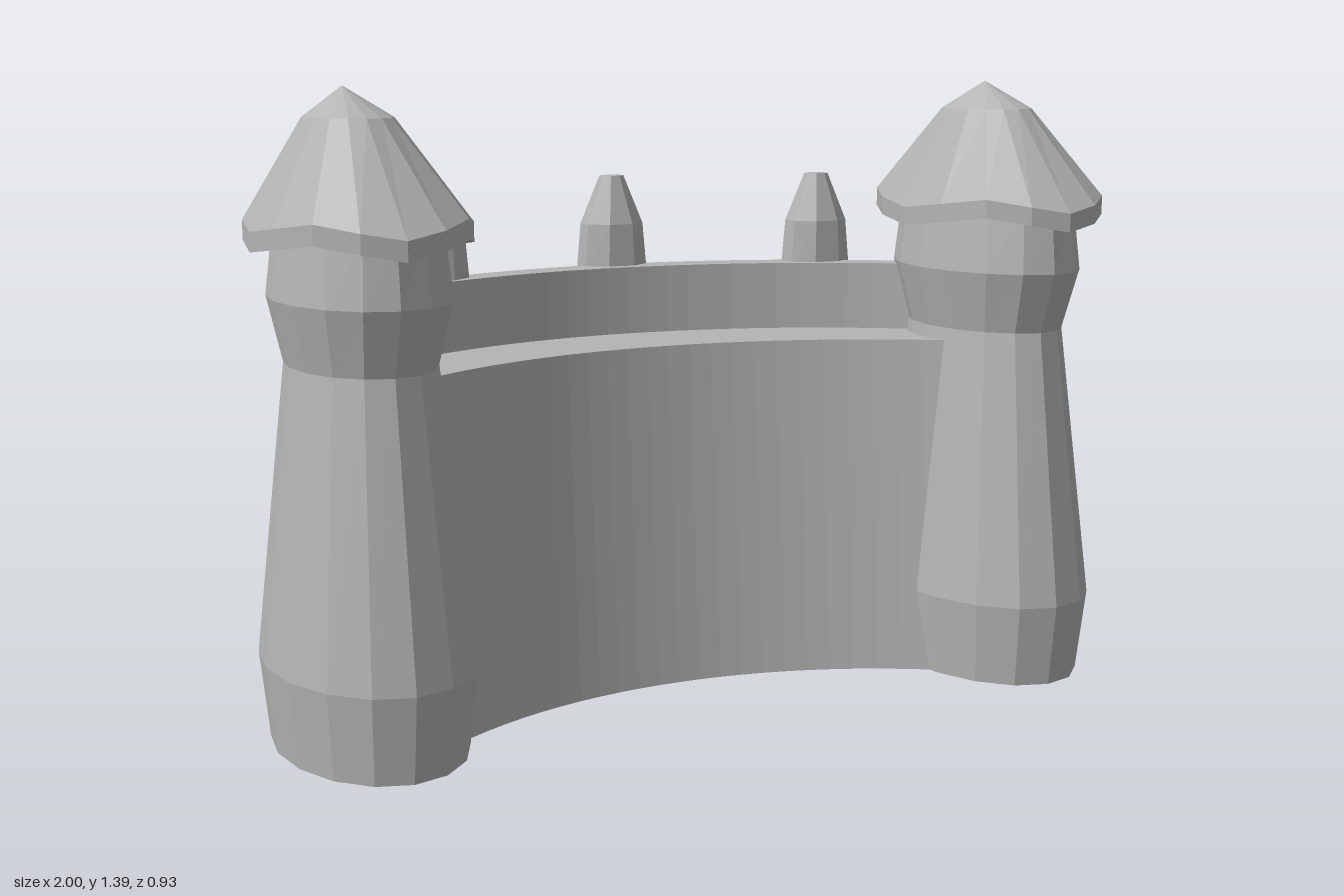
import * as THREE from 'three';

const stone = new THREE.MeshStandardMaterial({ color: 0xb4b4b4, flatShading: true, side: THREE.DoubleSide });
stone.name = 'greyStone';

// Skin a list of equal-length point rows; closed rows wrap round, caps close the ends.
function skin(name, rows, { wrap = true, capStart = false, capEnd = false } = {}) {
  const n = rows[0].length;
  const pos = rows.flat(2);
  const index = [];
  for (let i = 0; i < rows.length - 1; i++) {
    for (let j = 0; j < (wrap ? n : n - 1); j++) {
      const k = (j + 1) % n;
      const a = i * n + j, b = i * n + k, c = (i + 1) * n + k, d = (i + 1) * n + j;
      index.push(a, b, c, a, c, d);
    }
  }
  const last = (rows.length - 1) * n;
  for (let j = 1; j < n - 1; j++) {
    if (capStart) index.push(0, j + 1, j);
    if (capEnd) index.push(last, last + j, last + j + 1);
  }
  const geo = new THREE.BufferGeometry();
  geo.setAttribute('position', new THREE.Float32BufferAttribute(pos, 3));
  geo.setIndex(index);
  geo.computeVertexNormals();
  const mesh = new THREE.Mesh(geo, stone);
  mesh.name = name;
  return mesh;
}

// Elliptical ring; lift adjusts the height of each corner.
function ring(n, y, rx, rz, cx = 0, cz = 0, lift = () => 0, turn = 0) {
  return Array.from({ length: n }, (_, j) => {
    const a = ((j + turn) / n) * Math.PI * 2;
    return [cx + rx * Math.cos(a), y + lift(j, a), cz - rz * Math.sin(a)];
  });
}

function makeTower(x) {
  const tower = new THREE.Group();
  tower.name = 'tower';
  tower.position.set(x, 0, 0.135);
  // Waisted shaft, open below
  const shaft = [
    [0, 0.202, 0.306], [0.19, 0.222, 0.33], [0.82, 0.153, 0.236],
    [0.96, 0.184, 0.283], [1.1, 0.166, 0.268],
  ].map(([y, rx, rz]) => ring(16, y, rx, rz));
  tower.add(skin('towerShaft', shaft));
  // Pointed roof with a wavy eave
  const wave = (j) => [0, 0.015, 0.03, 0.015][j % 4];
  tower.add(skin('towerRoof', [
    ring(16, 1.085, 0.155, 0.26),
    ring(16, 1.06, 0.226, 0.335, 0, 0, wave),
    ring(16, 1.102, 0.226, 0.335, 0, 0, wave),
    ring(16, 1.33, 0.09, 0.13, -0.022, 0.025),
    ring(16, 1.393, 0.001, 0.001, -0.035, 0.035),
  ]));
  return tower;
}

// Rearward bow of the wall at a given x
const bow = (x) => 1.1 - Math.sqrt(1.1 * 1.1 - x * x);

function makeWall() {
  // Section [z, y] from front foot over the walkway and parapet to the rear foot
  const section = [
    [0.06, 0], [0, 0.79], [-0.23, 0.79], [-0.23, 0.95], [-0.315, 0.95],
    [-0.315, 0.83], [-0.285, 0.79], [-0.31, 0.21], [-0.362, 0.15], [-0.362, 0],
  ];
  const rows = [];
  for (let i = 0; i <= 28; i++) {
    const x = 0.74 - (1.48 * i) / 28;
    rows.push(section.map(([z, y]) => [x, y, z + bow(x)]));
  }
  return skin('curvedWall', rows, { wrap: false });
}

function makeMerlon(x, z) {
  const rows = [[0.925, 0.084, 0.065], [1.05, 0.073, 0.06], [1.165, 0.028, 0.024]]
    .map(([y, rx, rz]) => ring(8, y, rx * 1.06, rz * 1.06, x, z, undefined, 0.5));
  return skin('merlon', rows, { capStart: true, capEnd: true });
}

function makeBrace(x, z) {
  // Bent leaning post, its ends cut square to the lean
  const rows = [[0.852, 0, 0.032, 0.12], [0.5, -0.028, 0.036, 0.14], [0.052, -0.098, 0.053, 0.22]]
    .reverse()
    .map(([y, dz, r, tilt]) => ring(8, y, r, r, x, z + dz, (j, a) => tilt * r * Math.sin(a + Math.PI / 8), 0.5));
  return skin('brace', rows, { capStart: true, capEnd: true });
}

export function createModel() {
  const model = new THREE.Group();
  model.name = 'castleWall';
  model.add(makeTower(-0.774), makeTower(0.774), makeWall());
  for (const [x, z] of [[-0.5, 0.12], [0, 0], [0.5, 0.12]]) {
    model.add(makeMerlon(x, z - 0.325), makeBrace(x, z - 0.315));
  }
  return model;
}
